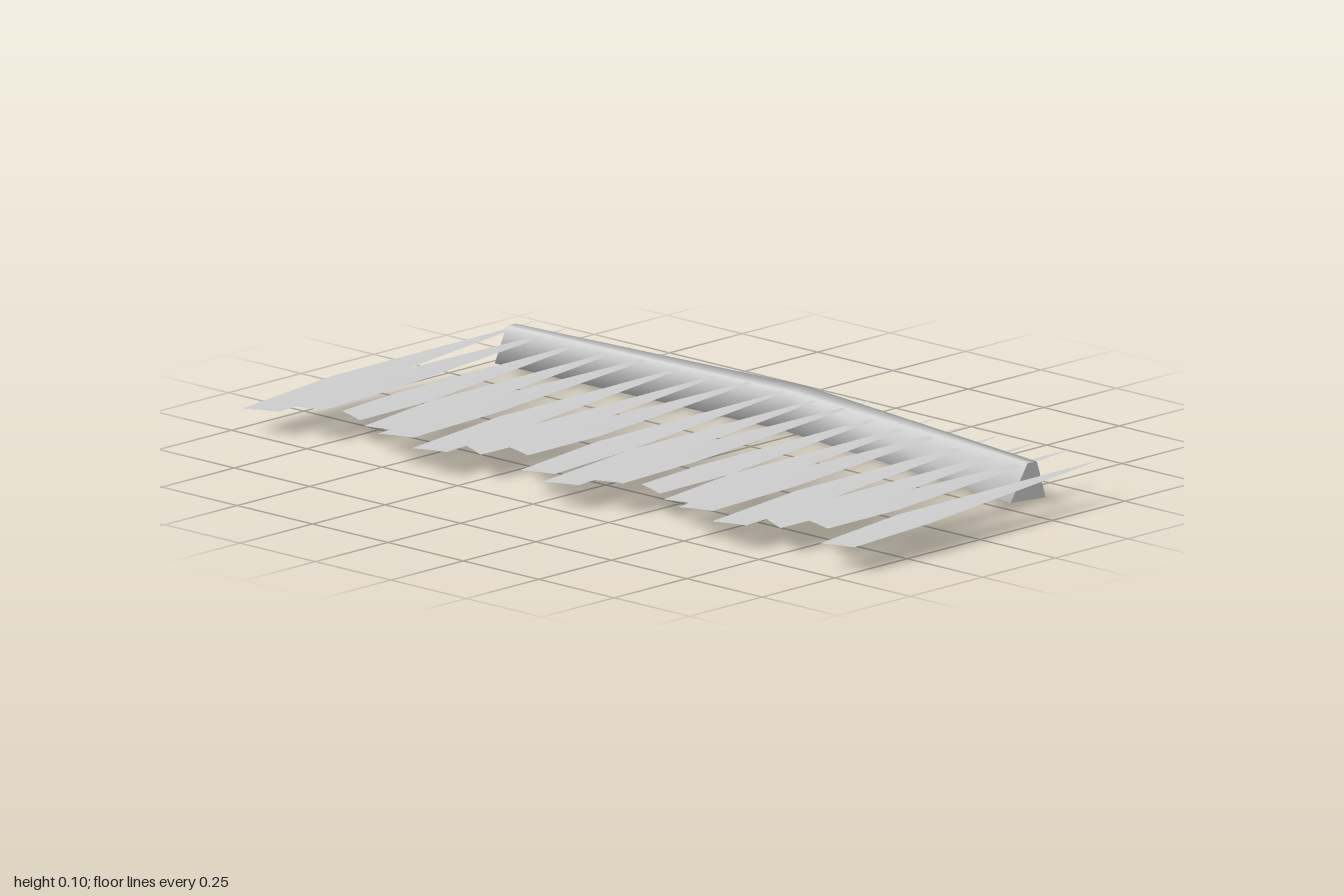
import * as THREE from 'three';

const leafMaterial = new THREE.MeshStandardMaterial({ color: 0xcccccc, flatShading: true, side: THREE.DoubleSide });
const beamMaterial = new THREE.MeshStandardMaterial({ color: 0xcccccc });

function build(points, index, material, name) {
  const geometry = new THREE.BufferGeometry();
  geometry.setAttribute('position', new THREE.Float32BufferAttribute(points.flat(), 3));
  geometry.setIndex(index);
  geometry.computeVertexNormals();
  const mesh = new THREE.Mesh(geometry, material);
  mesh.name = name;
  return mesh;
}

// Leaf blade: needle tip at the back, widest near the front, slanted cut end
function leaf(x, [leftX, leftZ, rightX, rightZ], raised, name) {
  const height = (z) => (raised ? 0.0865 - 0.024 * z : 0.077 - 0.038 * z);
  const p = (dx, z, lift = 0) => [x + dx, height(z) + lift, z];
  const points = [
    p(0, raised ? -0.5 : -0.485),
    p(-0.056, 0.16), p(0, 0.16, 0.002), p(0.056, 0.16),
    p(leftX, leftZ), p((leftX + rightX) / 2, (leftZ + rightZ) / 2, 0.001), p(rightX, rightZ),
  ];
  const index = [0, 1, 2, 0, 2, 3, 1, 4, 5, 1, 5, 2, 2, 5, 6, 2, 6, 3];
  return build(points, index, leafMaterial, name);
}

export function createModel() {
  const model = new THREE.Group();
  model.name = 'thatchRow';

  // Bent beam: bottom back, bottom front, top front, top back at each station
  const sections = [
    [[-0.935, 0.017, -0.435], [-0.93, 0.02, -0.335], [-0.93, 0.105, -0.375], [-0.93, 0.105, -0.405]],
    [[-0.035, 0, -0.5], [-0.035, 0.006, -0.397], [-0.035, 0.096, -0.425], [-0.035, 0.101, -0.477]],
    [[0.87, 0.012, -0.362], [0.855, 0.015, -0.257], [0.862, 0.105, -0.308], [0.867, 0.105, -0.335]],
  ];
  const index = [];
  for (let i = 0; i < 2; i++) {
    for (let j = 0; j < 4; j++) {
      const a = i * 4 + j, b = i * 4 + ((j + 1) % 4);
      index.push(a, a + 4, b, b, a + 4, b + 4);
    }
  }
  const beam = new THREE.Group();
  beam.name = 'beam';
  beam.add(
    build(sections.flat(), index, beamMaterial, 'beamSides'),
    build(sections[0], [0, 1, 2, 0, 2, 3], beamMaterial, 'beamRightEnd'),
    build(sections[2], [0, 2, 1, 0, 3, 2], beamMaterial, 'beamLeftEnd'),
  );
  model.add(beam);

  // Cut ends of nine leaves, repeated twice along the beam
  const ends = [
    [-0.032, 0.495, 0.056, 0.46], [-0.032, 0.45, 0.056, 0.42], [-0.052, 0.36, 0.037, 0.39],
    [-0.032, 0.42, 0.056, 0.4], [-0.032, 0.485, 0.056, 0.457], [-0.032, 0.483, 0.056, 0.455],
    [-0.058, 0.385, 0.025, 0.42], [-0.053, 0.365, 0.042, 0.39], [-0.032, 0.455, 0.056, 0.427],
  ];
  for (let i = 0; i < 18; i++) {
    model.add(leaf(-0.938 + i * 0.1104, ends[i % 9], i % 3 === 1, `leaf${i + 1}`));
  }
  return model;
}
